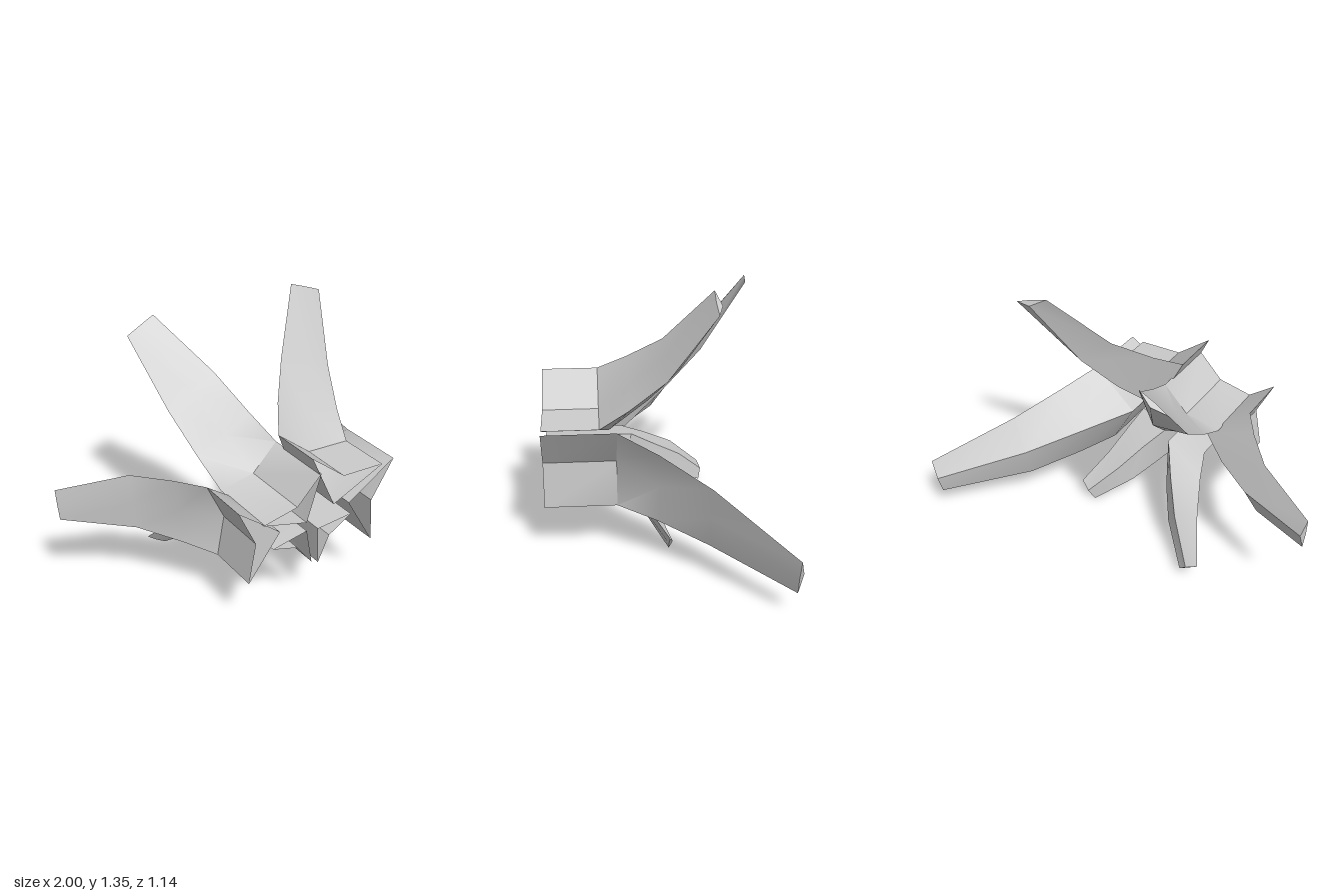
import * as THREE from 'three';
import { toCreasedNormals } from 'three/addons/utils/BufferGeometryUtils.js';

const FRONT = 0.574;

// Each blade: its two edges as x,y at the bend, middle and tip, and the z of those stations
const blades = [
  { name: 'upperLeftBlade', z: [0.3, -0.01, -0.225],
    a: [[-0.05, 0.85], [0.18, 1.07], [0.39, 1.355]],
    b: [[0.37, 0.69], [0.48, 0.96], [0.57, 1.29]] },
  { name: 'leftBlade', z: [0.22, -0.2, -0.545],
    a: [[0.44, 0.70], [0.69, 0.52], [1, 0.32]],
    b: [[0.33, 0.27], [0.60, 0.185], [0.95, 0.135]] },
  { name: 'rightBlade', z: [0.3, -0.01, -0.18],
    a: [[-0.40, 0.30], [-0.67, 0.385], [-0.99, 0.455]],
    b: [[-0.45, 0.70], [-0.69, 0.69], [-1, 0.625]] },
  { name: 'upperRightBlade', z: [0.21, -0.19, -0.47],
    a: [[-0.32, 0.59], [-0.37, 0.86], [-0.43, 1.175]],
    b: [[0, 0.76], [-0.10, 1.0], [-0.28, 1.255]] },
  { name: 'lowerRightBlade', z: [0.18, -0.1, -0.265],
    a: [[-0.04, 0.28], [-0.22, 0.155], [-0.39, 0.04]],
    b: [[-0.265, 0.44], [-0.39, 0.285], [-0.49, 0.11]] },
  { name: 'lowerLeftBlade', z: [0.3, 0.09, -0.035],
    a: [[0.19, 0.47], [0.285, 0.26], [0.38, 0.10]],
    b: [[0, 0.26], [0.125, 0.14], [0.30, 0.003]] },
];

// Depth of notch and keel below the line between the edges, as a share of the bend width
const NOTCH = [0.16, 0.16, 0.04, -0.02, -0.01];
const KEEL = [0.49, 0.49, 0.34, 0.21, 0.07];

// One edge: straight sleeve, bend, an easing point, middle, tip
function edgePoints(xy, z) {
  const [bend, middle, tip] = xy.map(([x, y], i) => new THREE.Vector3(x, y, z[i]));
  const front = bend.clone().setZ(FRONT);
  const ease = bend.clone().lerp(middle, 0.4);
  ease.z = THREE.MathUtils.lerp(bend.z, middle.z, 0.45);
  return [front, bend, ease, middle, tip];
}

// Dart-shaped cross-sections, each ordered edge a, notch, edge b, keel
function bladeRings({ a, b, z }) {
  const edgeA = edgePoints(a, z), edgeB = edgePoints(b, z);
  const mids = edgeA.map((p, i) => p.clone().lerp(edgeB[i], 0.5));
  const width = edgeA[0].distanceTo(edgeB[0]);
  return mids.map((mid, i) => {
    const across = edgeB[i].clone().sub(edgeA[i]);
    // the sleeve runs straight back, the rest follows the middle line
    const along = i < 2 ? new THREE.Vector3(0, 0, -1)
      : mids[Math.min(i + 1, 4)].clone().sub(mids[i - 1]);
    const inward = along.cross(across).normalize();
    const notch = mid.clone().addScaledVector(inward, NOTCH[i] * width);
    const keel = mid.clone().addScaledVector(inward, KEEL[i] * width);
    if (i === 1) keel.z -= 0.05;
    return [edgeA[i], notch, edgeB[i], keel];
  });
}

// Skin the rings; the sleeve stays open at the front, the tip is closed
function bladeGeometry(spec) {
  const rings = bladeRings(spec);
  const index = [];
  for (let r = 0; r < rings.length - 1; r++) {
    for (let j = 0; j < 4; j++) {
      const p = r * 4 + j, q = r * 4 + (j + 1) % 4;
      index.push(p, q, p + 4, q, q + 4, p + 4);
    }
  }
  const t = (rings.length - 1) * 4;
  index.push(t, t + 1, t + 3, t + 1, t + 2, t + 3);
  const geometry = new THREE.BufferGeometry().setFromPoints(rings.flat());
  geometry.setIndex(index);
  return toCreasedNormals(geometry, 0.6);
}

export function createModel() {
  const group = new THREE.Group();
  group.name = 'bladeCluster';
  const material = new THREE.MeshStandardMaterial({ color: 0xcccccc, side: THREE.DoubleSide });
  for (const spec of blades) {
    const mesh = new THREE.Mesh(bladeGeometry(spec), material);
    mesh.name = spec.name;
    group.add(mesh);
  }
  return group;
}
